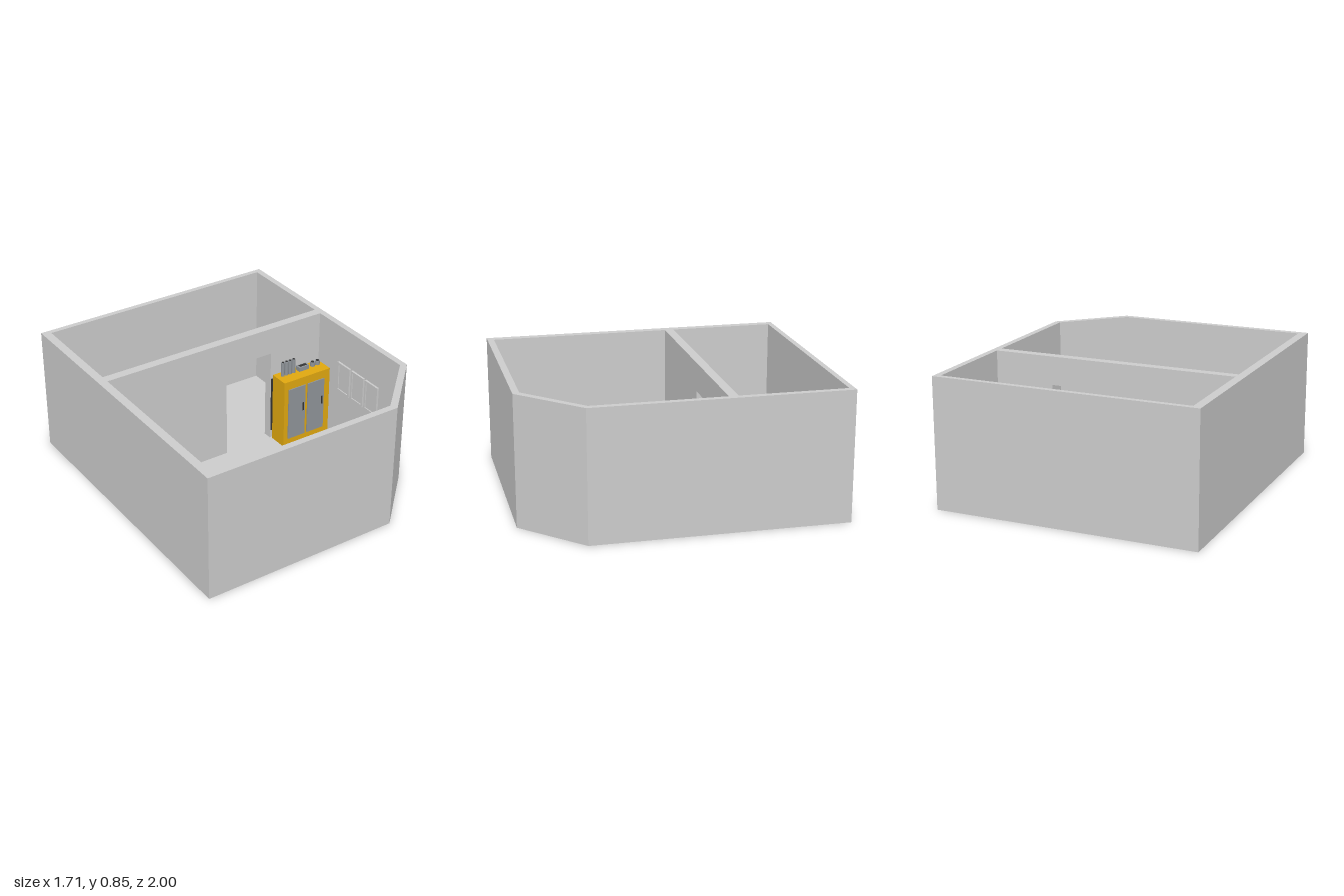
import * as THREE from 'three';

const mat = (color) => new THREE.MeshStandardMaterial({ color });
const grey = mat(0xcccccc);
const yellow = mat(0xe0a810);
const dark = mat(0x333333);
const steel = mat(0x8f9499);

function add(parent, name, geometry, material, x = 0, y = 0, z = 0) {
  const mesh = new THREE.Mesh(geometry, material);
  mesh.name = name;
  mesh.position.set(x, y, z);
  parent.add(mesh);
  return mesh;
}
const box = (w, h, d) => new THREE.BoxGeometry(w, h, d);

// Plan outlines are [x, z] points, extruded upwards
const planShape = (pts) => new THREE.Shape(pts.map(([x, z]) => new THREE.Vector2(x, -z)));
const rise = (shape, depth) =>
  new THREE.ExtrudeGeometry(shape, { depth, bevelEnabled: false }).rotateX(-Math.PI / 2);

const HEIGHT = 0.845;
const FLOOR = 0.005;
const OUTER = [[-0.856, 1], [0.48, 1], [0.856, 0.63], [0.856, -1], [-0.856, -1]];
const INNER = [[-0.8, 0.957], [0.46, 0.957], [0.815, 0.613], [0.815, -0.965], [-0.8, -0.965]];

// Yellow control cabinet standing against the partition
function createCabinet() {
  const g = new THREE.Group();
  g.name = 'controlCabinet';
  const top = 0.5;
  add(g, 'cabinetBody', box(0.37, top - FLOOR, 0.135), yellow, 0.615, (top + FLOOR) / 2, -0.142);
  add(g, 'cabinetBackPlate', box(0.22, 0.4, 0.008), dark, 0.53, 0.27, -0.213);
  for (const x of [0.53, 0.685]) {
    add(g, 'cabinetDoor', box(0.135, 0.38, 0.008), steel, x, 0.25, -0.071);
    add(g, 'doorHandle', box(0.01, 0.06, 0.006), dark, x + 0.05, 0.28, -0.066);
  }
  // Row of four raised dials and a pair of knobs
  const dial = (name, x, r, h) => {
    add(g, name, new THREE.CylinderGeometry(r, r, h, 20), steel, x, top + h / 2, -0.165);
    add(g, name + 'Cap', new THREE.CylinderGeometry(r * 0.6, r * 0.6, 0.006, 16), dark, x, top + h, -0.165);
  };
  for (let i = 0; i < 4; i++) dial('dial', 0.478 + i * 0.029, 0.013, 0.1);
  for (const x of [0.723, 0.762]) dial('knob', x, 0.017, 0.03);
  // Small display
  add(g, 'displayFrame', box(0.08, 0.03, 0.04), steel, 0.64, top + 0.015, -0.165);
  add(g, 'displayScreen', box(0.055, 0.004, 0.02), dark, 0.64, top + 0.031, -0.165);
  return g;
}

// Framed panel on the side wall, facing -x
function createWallPanel(z) {
  const g = new THREE.Group();
  g.name = 'wallPanel';
  const [w, h, bar] = [0.13, 0.215, 0.014];
  for (const s of [-1, 1]) {
    add(g, 'panelFrameRail', box(0.014, bar, w), grey, 0, s * (h - bar) / 2, 0);
    add(g, 'panelFrameStile', box(0.014, h - 2 * bar, bar), grey, 0, 0, s * (w - bar) / 2);
  }
  add(g, 'panelFace', box(0.006, h - 2 * bar, w - 2 * bar), grey, 0.003, 0, 0);
  g.position.set(0.808, 0.478, z);
  return g;
}

export function createModel() {
  const model = new THREE.Group();
  model.name = 'twoRoomBuilding';

  // Outer walls with one cut corner
  const ring = planShape(OUTER);
  ring.holes.push(planShape(INNER));
  add(model, 'outerWalls', rise(ring, HEIGHT), grey);
  add(model, 'floor', rise(planShape(INNER), FLOOR), grey);

  // Partition with a doorway
  const wall = new THREE.Shape([
    [-0.8, 0], [0.07, 0], [0.07, 0.66], [0.42, 0.66], [0.42, 0],
    [0.815, 0], [0.815, HEIGHT], [-0.8, HEIGHT],
  ].map(([x, y]) => new THREE.Vector2(x, y)));
  add(model, 'partitionWall',
    new THREE.ExtrudeGeometry(wall, { depth: 0.06, bevelEnabled: false }), grey, 0, 0, -0.282);

  model.add(createCabinet());
  for (let i = 0; i < 3; i++) model.add(createWallPanel(0.07 + i * 0.145));
  return model;
}
